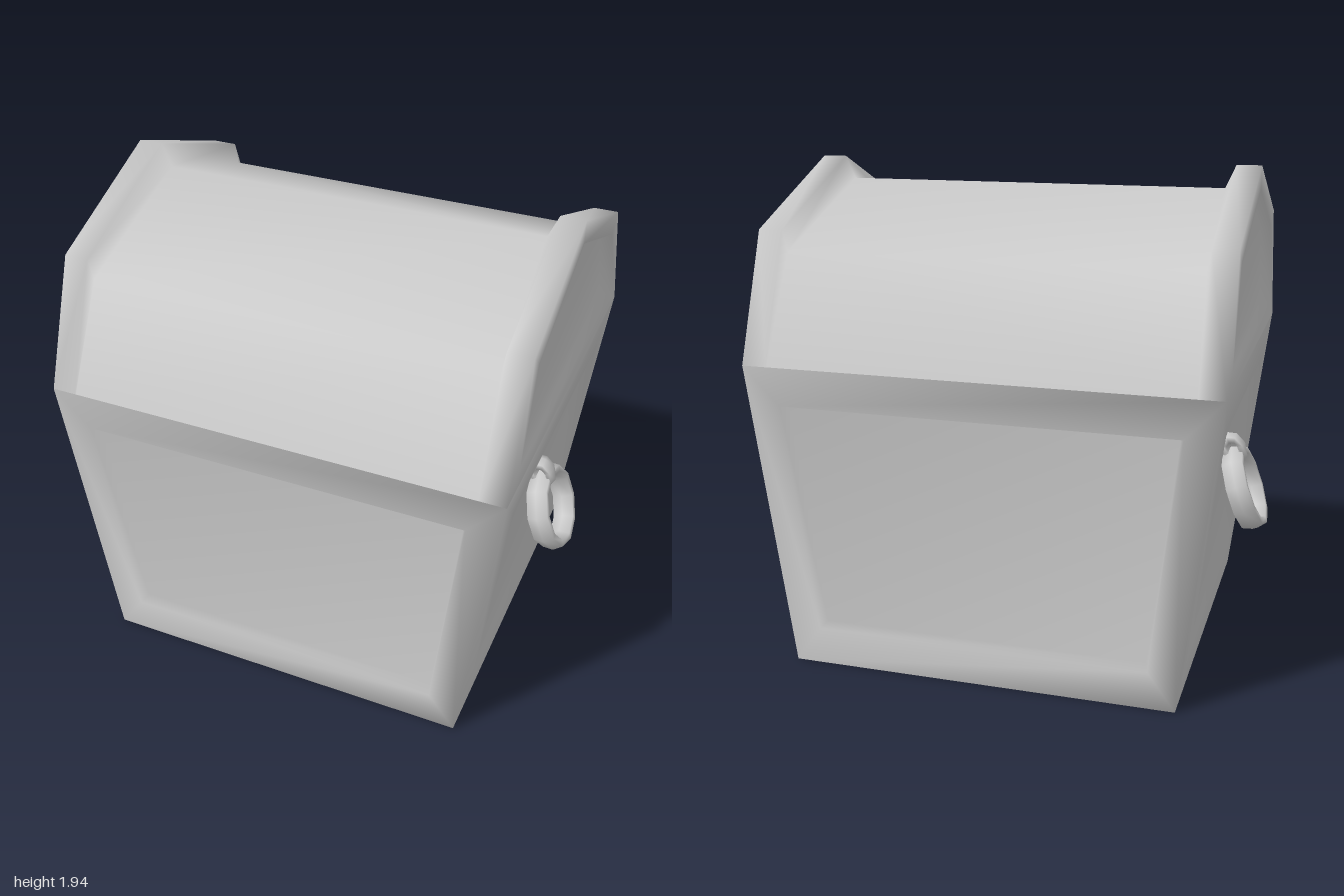
import * as THREE from 'three';
import { mergeVertices } from 'three/addons/utils/BufferGeometryUtils.js';

const TOP = 1.215; // height where the lid meets the body
const material = new THREE.MeshStandardMaterial({ color: 0xcccccc, side: THREE.DoubleSide });

// Collects polygons, then welds them into one smooth surface
function surface() {
  const positions = [];
  const face = (...pts) => {
    for (let i = 1; i < pts.length - 1; i++) positions.push(...pts[0], ...pts[i], ...pts[i + 1]);
  };
  // Skin between successive loops, closed by the last one
  const panel = (loops) => {
    for (let l = 0; l < loops.length - 1; l++) {
      const a = loops[l], b = loops[l + 1], n = a.length;
      for (let i = 0; i < n; i++) face(a[i], a[(i + 1) % n], b[(i + 1) % n], b[i]);
    }
    face(...loops[loops.length - 1]);
  };
  const build = () => {
    const g = new THREE.BufferGeometry();
    g.setAttribute('position', new THREE.Float32BufferAttribute(positions, 3));
    const welded = mergeVertices(g, 1e-4);
    welded.computeVertexNormals();
    return welded;
  };
  return { face, panel, build };
}

function addMesh(parent, geometry, name) {
  const mesh = new THREE.Mesh(geometry, material);
  mesh.name = name;
  parent.add(mesh);
  return mesh;
}

// Half width and half depth of the tapered body at height y
const halfX = (y) => THREE.MathUtils.lerp(0.765, 0.912, y / TOP);
const halfZ = (y) => THREE.MathUtils.lerp(0.74, 0.78, y / TOP);

// Tapered body: four framed walls with sunken panels
function bodyWalls() {
  const s = surface();
  const turns = [
    (u, y, w) => [u, y, w], (u, y, w) => [w, y, -u],
    (u, y, w) => [-u, y, -w], (u, y, w) => [-w, y, u],
  ];
  turns.forEach((turn, k) => {
    const [half, out, frame, rail] = k % 2 ? [halfZ, halfX, 0.175, 0.165] : [halfX, halfZ, 0.125, 0.15];
    const loop = (side, rise, sink) => [[-1, rise], [1, rise], [1, TOP - rise], [-1, TOP - rise]]
      .map(([sign, y]) => turn(sign * (half(y) - side), y, out(y) - sink));
    s.panel([loop(0, 0, 0), loop(frame, rail, 0), loop(frame + 0.015, rail + 0.015, 0.045)]);
  });
  return s.build();
}

// Lid: raised rims at both ends, sunken roof between, sunken end panels
function lidShell() {
  const s = surface();
  // Each section lists [x, y, z] from the front edge over the ridge to the back edge
  const section = (xBase, xShoulder, xRidge, [sz, sy], ridge) => [
    [xBase, TOP, 0.78], [xShoulder, sy, sz], [xRidge, ridge, 0.01],
    [xShoulder, sy, -sz], [xBase, TOP, -0.78],
  ];
  const rim = (x) => section(x, x, x, [0.59, 1.705], 1.94);
  const roof = (side) => section(side * 0.81, side * 0.8, side * 0.775, [0.583, 1.622], 1.85);
  const sections = [rim(-0.912), rim(-0.815), roof(-1), roof(1), rim(0.815), rim(0.912)];
  for (let i = 0; i < sections.length - 1; i++) {
    const a = sections[i], b = sections[i + 1];
    for (let j = 0; j < 4; j++) {
      const quad = [a[j], b[j], b[j + 1], a[j + 1]];
      if (j > 1) quad.push(quad.shift()); // mirror the diagonals front to back
      s.face(...quad);
    }
  }
  for (const side of [1, -1]) {
    const loop = (x, [bz, by], [sz, sy], apex) =>
      [[bz, by], [-bz, by], [-sz, sy], [side * 0.01, apex], [sz, sy]]
        .map(([z, y]) => [side * x, y, side * z]);
    s.panel([
      loop(0.912, [0.78, TOP], [0.59, 1.705], 1.94),
      loop(0.912, [0.65, 1.29], [0.515, 1.64], 1.85),
      loop(0.87, [0.63, 1.305], [0.5, 1.625], 1.83),
    ]);
  }
  return s.build();
}

// Side handle: a slanted loop on the wall with a tilted ten-sided ring
function handle() {
  const group = new THREE.Group();
  const loop = addMesh(group, new THREE.TorusGeometry(0.047, 0.026, 6, 8), 'handleLoop');
  loop.position.set(0.853, 0.805, 0);
  loop.rotation.z = 0.5;
  loop.scale.set(0.7, 1, 1.6);
  const ringGeometry = new THREE.TorusGeometry(0.154, 0.026, 6, 10);
  ringGeometry.scale(1, 1, 1.9).rotateZ(Math.PI / 10).rotateY(Math.PI / 2);
  const ring = addMesh(group, ringGeometry, 'handleRing');
  ring.position.set(0.905, 0.64, 0);
  ring.rotation.z = 0.35;
  return group;
}

export function createModel() {
  const chest = new THREE.Group();
  chest.name = 'chest';
  addMesh(chest, bodyWalls(), 'body');
  const base = addMesh(chest, new THREE.PlaneGeometry(2 * halfX(0), 2 * halfZ(0)), 'base');
  base.rotation.x = Math.PI / 2;
  addMesh(chest, lidShell(), 'lid');
  for (const [name, angle] of [['leftHandle', 0], ['rightHandle', Math.PI]]) {
    const h = handle();
    h.name = name;
    h.position.z = 0.01;
    h.rotation.y = angle;
    chest.add(h);
  }
  return chest;
}
